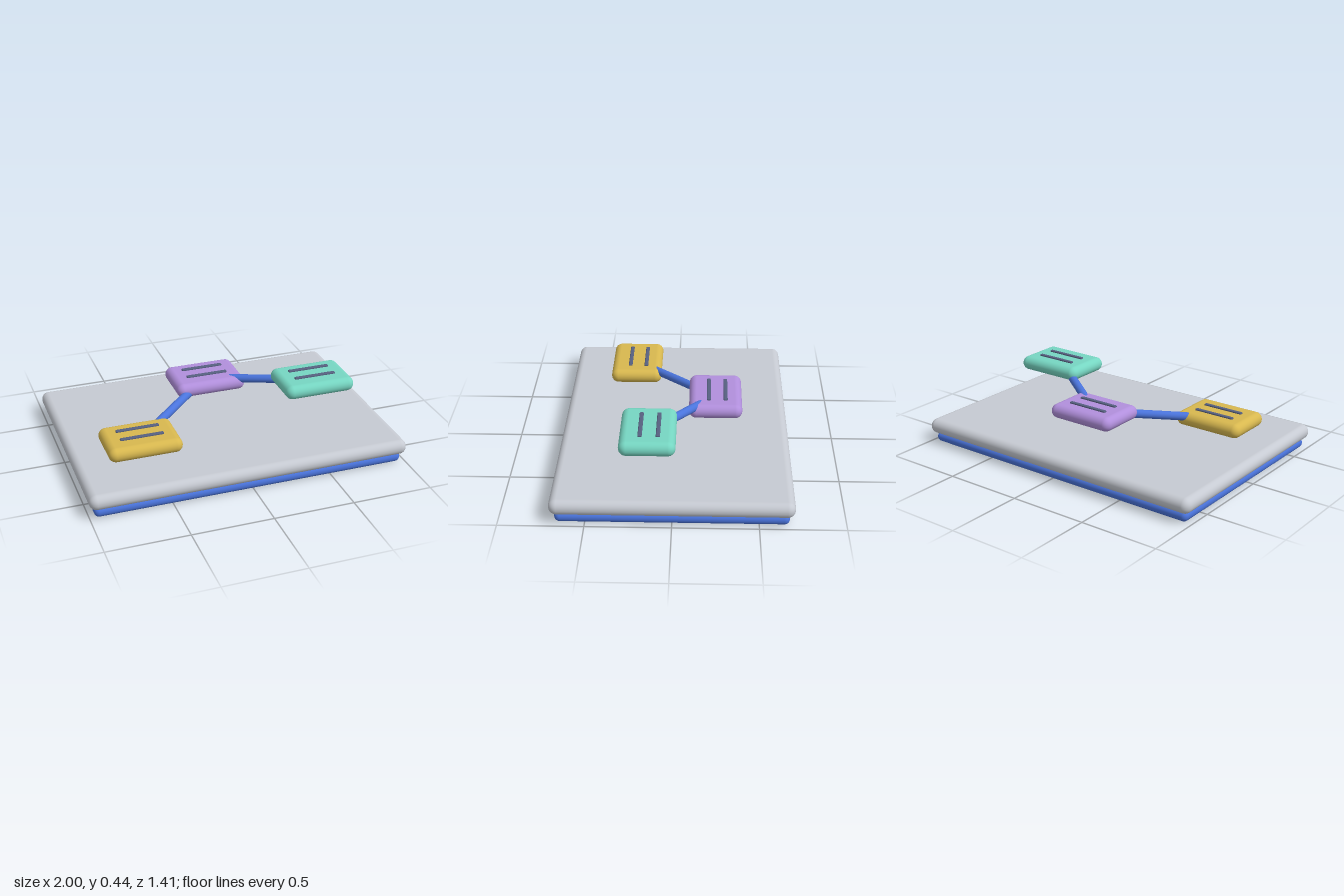
import * as THREE from 'three';
import { RoundedBoxGeometry } from 'three/addons/geometries/RoundedBoxGeometry.js';

const material = (name, color) => {
  const m = new THREE.MeshStandardMaterial({ color });
  m.name = name;
  return m;
};

export function createModel() {
  const model = new THREE.Group();
  model.name = 'flowDiagramBoard';

  const grey = material('light grey', 0xc6cad2);
  const blue = material('blue', 0x4a74dc);
  const yellow = material('yellow', 0xd8b84f);
  const purple = material('purple', 0xb18fdc);
  const teal = material('teal', 0x76d6c2);
  const slate = material('slate', 0x566080);

  // Box with fully rounded edges, centred on the given position
  const roundedBox = (name, size, radius, position, mat, parent) => {
    const mesh = new THREE.Mesh(new RoundedBoxGeometry(...size, 5, radius), mat);
    mesh.name = name;
    mesh.position.set(...position);
    parent.add(mesh);
  };

  // Round bar between two points
  const rod = (name, from, to, radius, mat) => {
    const direction = to.clone().sub(from);
    const mesh = new THREE.Mesh(
      new THREE.CylinderGeometry(radius, radius, direction.length(), 24), mat);
    mesh.name = name;
    mesh.position.copy(from).add(to).multiplyScalar(0.5);
    mesh.quaternion.setFromUnitVectors(new THREE.Vector3(0, 1, 0), direction.normalize());
    model.add(mesh);
  };

  // Board: blue underlay and grey slab
  roundedBox('underlay', [1.94, 0.064, 1.35], 0.031, [0, 0.032, 0], blue, model);
  roundedBox('slab', [2, 0.096, 1.41], 0.047, [0, 0.107, 0], grey, model);

  // Three floating cards, each with two raised lines
  const cards = [
    ['leftCard', yellow, new THREE.Vector3(-0.583, 0.232, 0.272)],
    ['middleCard', purple, new THREE.Vector3(0, 0.303, -0.25)],
    ['rightCard', teal, new THREE.Vector3(0.583, 0.386, 0.148)],
  ];
  for (const [name, mat, center] of cards) {
    const card = new THREE.Group();
    card.name = name;
    card.position.copy(center);
    roundedBox('cardBody', [0.455, 0.091, 0.33], 0.045, [0, 0, 0], mat, card);
    for (const z of [-0.062, 0.043]) {
      roundedBox('cardLine', [0.27, 0.016, 0.025], 0.006, [0, 0.047, z], slate, card);
    }
    model.add(card);
  }

  // Connecting rods between neighbouring cards
  rod('leftConnector', cards[0][2], cards[1][2], 0.0265, blue);
  rod('rightConnector', cards[1][2], cards[2][2], 0.0265, blue);

  return model;
}
